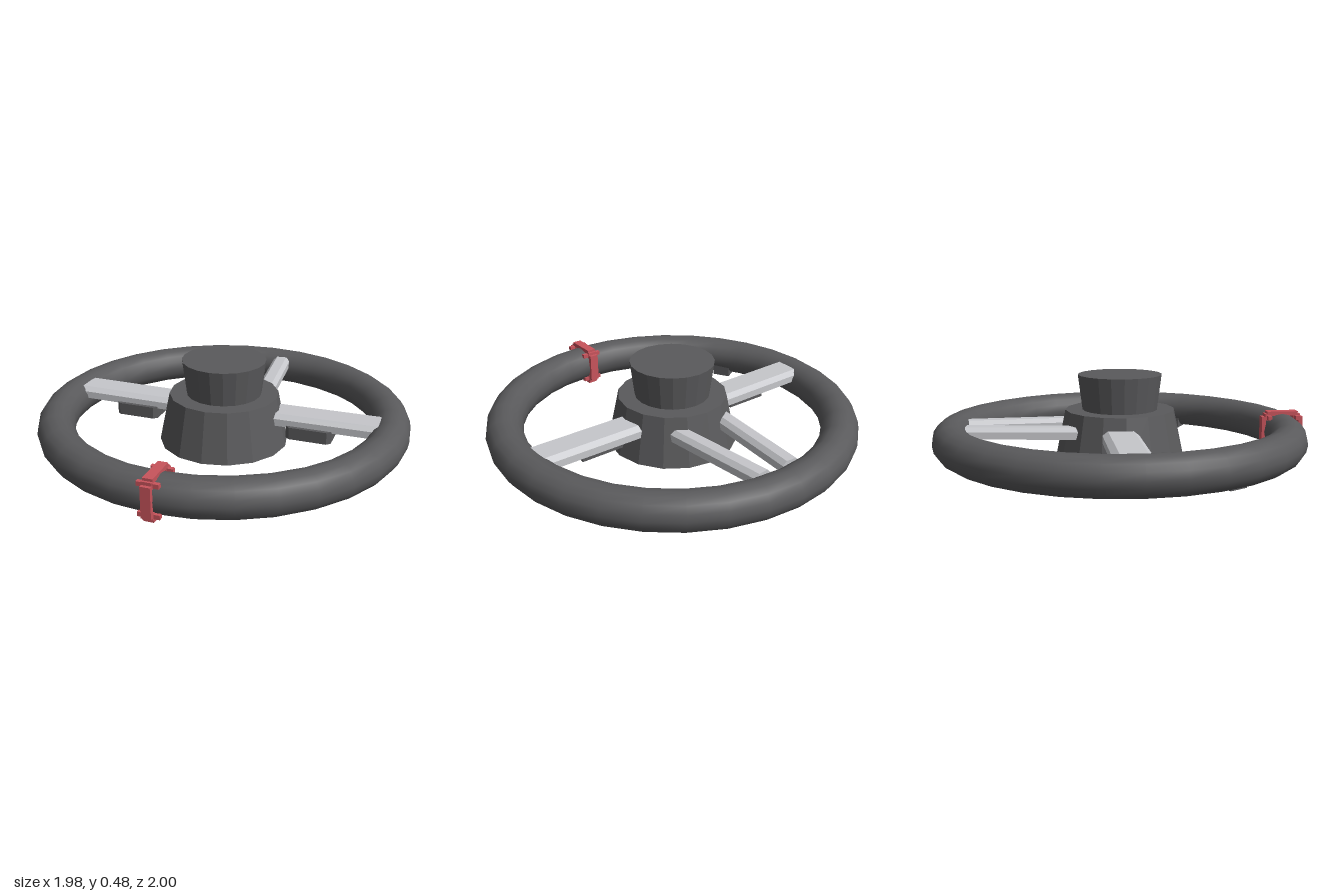
import * as THREE from 'three';

export function createModel() {
  const model = new THREE.Group();
  model.name = 'steeringWheel';
  const material = (name, color) => {
    const m = new THREE.MeshStandardMaterial({ color });
    m.name = name;
    return m;
  };
  const darkGrey = material('darkGrey', 0x5a5a5c);
  const silver = material('silver', 0xc6c7cb);
  const red = material('red', 0xc8545c);

  const add = (name, geometry, mat, x = 0, y = 0, z = 0, parent = model) => {
    const mesh = new THREE.Mesh(geometry, mat);
    mesh.name = name;
    mesh.position.set(x, y, z);
    parent.add(mesh);
    return mesh;
  };
  const flat = (geometry) => {
    const g = geometry.toNonIndexed();
    g.computeVertexNormals();
    return g;
  };

  // Rim
  const CZ = -0.007;
  const rim = new THREE.TorusGeometry(0.893, 0.098, 16, 32).rotateX(Math.PI / 2);
  add('rim', rim, darkGrey, 0, 0.154, CZ);

  // Hub: a wide cone with a flared boss on top and a ring set in its base
  add('hub', flat(new THREE.CylinderGeometry(0.292, 0.347, 0.265, 16)), darkGrey, 0, 0.1625, CZ);
  add('boss', flat(new THREE.CylinderGeometry(0.224, 0.2, 0.19, 20)), darkGrey, 0, 0.387, CZ);
  add('hubRing', new THREE.TorusGeometry(0.114, 0.03, 12, 32).rotateX(Math.PI / 2), silver, 0, 0.03, CZ);

  // Spokes: a bar with chamfered top edges, running from the hub into the rim
  const spoke = (name, from, to, width, chamfer) => {
    const w = width / 2;
    const section = new THREE.Shape([
      [-w, -0.06], [w, -0.06], [w, -0.022], [w - chamfer, 0], [chamfer - w, 0], [-w, -0.022],
    ].map(([x, y]) => new THREE.Vector2(x, y)));
    const start = new THREE.Vector3(...from);
    const end = new THREE.Vector3(...to);
    const geometry = new THREE.ExtrudeGeometry(section, { depth: start.distanceTo(end), bevelEnabled: false });
    add(name, geometry, silver, ...from).lookAt(end);
  };

  for (const [side, s] of [['left', 1], ['right', -1]]) {
    spoke(side + 'Spoke', [s * 0.26, 0.23, -0.035], [s * 0.835, 0.234, -0.035], 0.185, 0.028);
    spoke(side + 'RearSpoke', [s * 0.143, 0.23, -0.24], [s * 0.09, 0.234, -0.815], 0.1, 0.022);

    // Switch block under the side spoke, narrowing towards its front
    const block = new THREE.Shape([
      [0.365, -0.07], [0.605, -0.07], [0.605, 0.058], [0.585, 0.078], [0.385, 0.078], [0.365, 0.058],
    ].map(([x, z]) => new THREE.Vector2(x, -z)));
    const blockGeometry = new THREE.ExtrudeGeometry(block, { depth: 0.065, bevelEnabled: false })
      .rotateX(-Math.PI / 2).translate(-0.485, 0, 0);
    add(side + 'Switch', blockGeometry, darkGrey, s * 0.485, 0.115, 0);

    // Grip pad under the front part of the rim
    const angle = Math.PI / 6;
    const pad = add(side + 'GripPad', new THREE.BoxGeometry(0.1, 0.075, 0.1), darkGrey,
      s * 0.855 * Math.cos(angle), 0.087, 0.855 * Math.sin(angle) + CZ);
    pad.rotation.y = -s * angle;
  }

  // Clip wrapped round the front of the rim: four bars and four wider corners
  const clip = new THREE.Group();
  clip.name = 'clip';
  clip.position.set(0, 0.157, 0.886);
  model.add(clip);
  for (const s of [1, -1]) {
    add('clipBar', new THREE.BoxGeometry(0.05, 0.024, 0.17), red, 0, s * 0.096, 0, clip);
    add('clipBar', new THREE.BoxGeometry(0.05, 0.158, 0.022), red, 0, 0, s * 0.103, clip);
    for (const t of [1, -1]) {
      add('clipCorner', new THREE.BoxGeometry(0.11, 0.022, 0.022), red, 0, s * 0.076, t * 0.077, clip);
      add('clipJoint', new THREE.BoxGeometry(0.05, 0.036, 0.036), red, 0, s * 0.077, t * 0.079, clip);
    }
  }
  return model;
}
